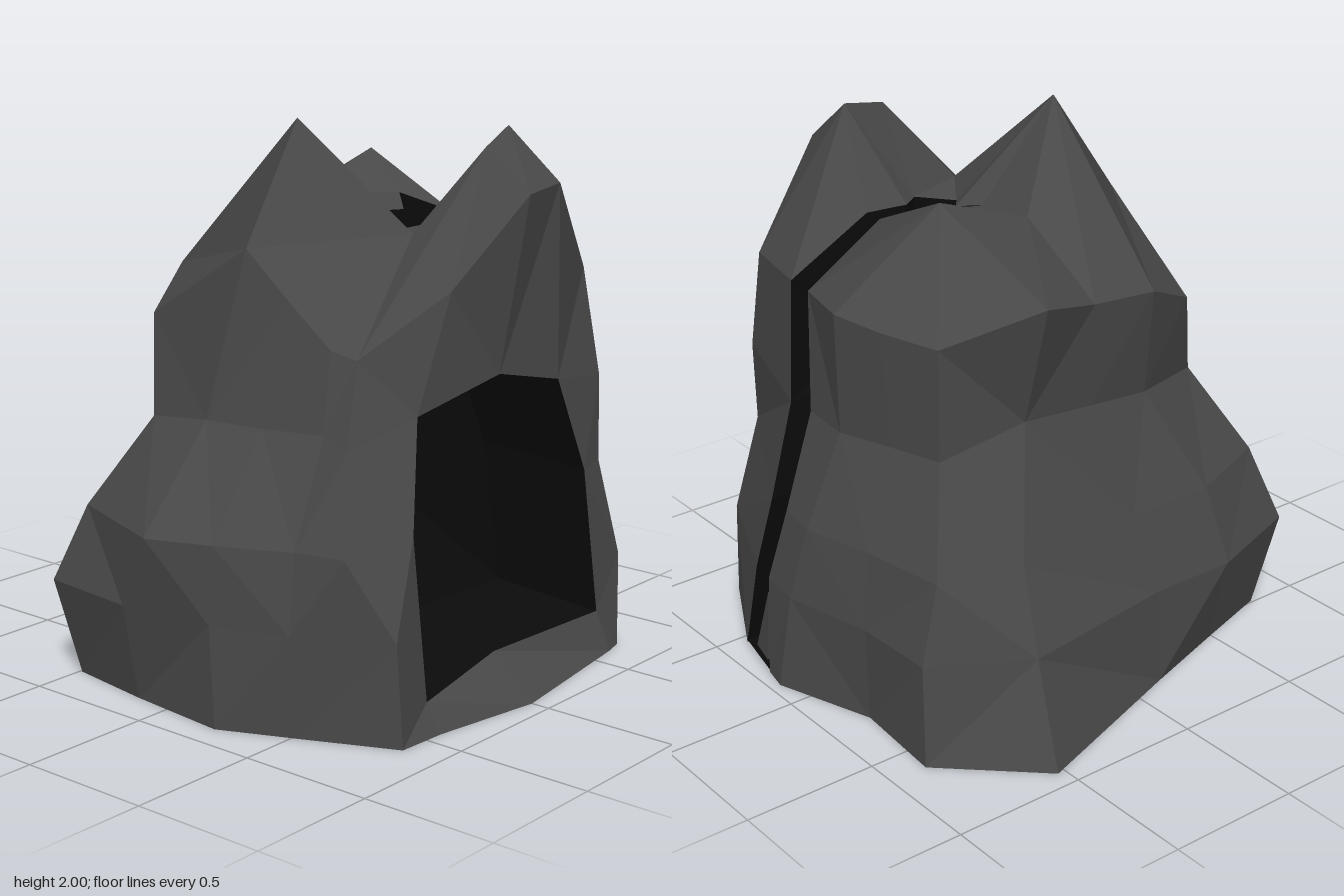
import * as THREE from 'three';

const rock = new THREE.MeshStandardMaterial({ color: 0x484848, flatShading: true });
const dark = new THREE.MeshStandardMaterial({ color: 0x0b0b0b, flatShading: true, side: THREE.DoubleSide });

// Mesh from a list of polygons, each fanned into triangles
function surface(name, polygons, material) {
  const pos = [];
  for (const p of polygons) {
    for (let i = 1; i < p.length - 1; i++) pos.push(...p[0], ...p[i], ...p[i + 1]);
  }
  const g = new THREE.BufferGeometry();
  g.setAttribute('position', new THREE.Float32BufferAttribute(pos, 3));
  g.computeVertexNormals();
  const mesh = new THREE.Mesh(g, material);
  mesh.name = name;
  return mesh;
}

// Quad ordered so that it is split along its shorter diagonal
const distance = (a, b) => Math.hypot(a[0] - b[0], a[1] - b[1], a[2] - b[2]);
const quad = (a, b, c, d) => (distance(a, c) < distance(b, d) ? [a, b, c, d] : [b, c, d, a]);

// Cross-section at height y: [x, z] or [x, z, own height], from the front round by +x
const ring = (y, pts) => pts.map(([x, z, h = y]) => [x, h, z]);

const base = ring(0, [
  [-.49, .8], [-.15, .85], [.25, .89], [.52, .77], [.85, .62], [.86, .43], [.93, 0], [.84, -.62], [.82, -.7],
  [.46, -.89], [.23, -.94], [.13, -.96], [-.25, -.83], [-.62, -.86], [-.93, -.53], [-.7, .14], [-.59, .48]]);
const foot = ring(.36, [
  [-.54, .88], [-.15, .92], [.22, .88], [.5, .79], [.82, .62], [.8, .43, .1], [.74, -.03, .14], [.79, -.6, .15], [.82, -.69],
  [.38, -.88], [.27, -.9], [.1, -.92], [-.25, -.84], [-.57, -.83], [-.77, -.49], [-.68, .14], [-.68, .48]]);
const belly = ring(.64, [
  [-.44, .8], [0, .96], [.23, .87], [.49, .75], [.67, .71], [.76, .46, .68], [.8, -.02, .7], [.8, -.48, .72], [.78, -.6, .73],
  [.32, -.84], [.21, -.85], [.05, -.87], [-.22, -.8], [-.55, -.75], [-.63, -.44], [-.58, .1], [-.58, .45]]);
const waist = ring(1, [
  [-.27, .63, .96], [.02, .67], [.25, .64], [.47, .58], [.59, .6, .97], [.67, .33, 1.05], [.73, -.05, 1.14], [.78, -.33, 1.08], [.76, -.62, 1.04],
  [.32, -.74], [.21, -.73], [0, -.75], [-.2, -.68], [-.4, -.62], [-.46, -.3, 1.08], [-.45, 0, 1.05], [-.43, .27, 1.02]]);
const rim = ring(1.43, [
  [-.37, .52, 1.3], [.12, .57, 1.59], [.29, .55], [.46, .53, 1.28], [.54, .49, 1.25], [.7, .19, 1.46], [.83, -.07, 1.77], [.79, -.3, 1.78], [.68, -.62],
  [.38, -.68], [.26, -.69], [-.03, -.78, 1.46], [-.2, -.71], [-.4, -.62, 1.41], [-.58, -.3, 1.53], [-.49, -.02, 1.45], [-.49, .25]]);
const rings = [base, foot, belly, waist, rim];

export function createModel() {
  const group = new THREE.Group();
  const n = base.length;

  // Outer walls, left open at the cave mouth (columns 5-7) and the crack (9-10)
  const walls = [];
  for (let l = 0; l < 4; l++) {
    for (let i = 0; i < n; i++) {
      const cave = (i === 5 || i === 6) && (l === 1 || l === 2);
      if (cave || i === 9) continue;
      const j = (i + 1) % n;
      walls.push(quad(rings[l][i], rings[l][j], rings[l + 1][j], rings[l + 1][i]));
    }
  }
  group.add(surface('rockWalls', walls, rock));

  // Broken top: peaks, saddles and the jagged edge of the crater
  const peak = [.08, 2, .26], saddle = [.47, 1.62, .11];
  const hornFront = [.62, 1.91, -.1], hornBack = [.56, 1.96, -.31];
  const dip = [-.16, 1.68, -.05], backPeak = [-.15, 1.81, -.42];
  const cL = [.27, 1.62, -.37], cR = [.35, 1.62, -.37];
  const gL = [.05, 1.67, -.34], gR = [.38, 1.62, -.14];
  const nL = [.19, 1.64, -.19], nR = [.33, 1.62, -.21];
  const mL = [.11, 1.64, -.04], mM = [.21, 1.62, -.08], mR = [.3, 1.6, -.01];
  const r = rim;
  group.add(surface('rockTop', [
    [r[16], r[0], r[1], peak], [r[1], saddle, peak], [r[1], r[2], saddle], [r[2], r[3], saddle],
    [r[3], r[4], saddle], [r[4], r[5], hornFront], [r[4], hornFront, saddle], [r[5], r[6], hornFront],
    [r[6], r[7], hornBack, hornFront], [r[7], r[8], hornBack], [r[8], r[9], hornBack], [r[9], cR, hornBack],
    [r[10], r[11], backPeak], [r[10], backPeak, cL], [r[11], r[12], backPeak], [r[12], r[13], backPeak],
    [r[13], r[14], backPeak], [r[14], r[15], dip], [r[14], dip, backPeak], [r[15], r[16], peak], [r[15], peak, dip],
    [cL, backPeak, gL], [backPeak, dip, gL], [dip, nL, gL], [dip, mL, nL], [dip, peak, mL],
    [peak, mM, mL], [peak, mR, mM], [peak, saddle, mR], [saddle, hornFront, gR], [saddle, gR, mR],
    [hornFront, hornBack, gR], [hornBack, nR, gR], [hornBack, cR, nR],
  ], rock));

  // Flat underside
  const centre = [0, 0, 0];
  group.add(surface('underside', base.map((p, i) => [p, centre, base[(i + 1) % n]]), rock));

  // Cave: mouth loop drawn inwards, then closed to a point
  const mouth = [foot[5], belly[5], waist[5], waist[6], waist[7], belly[7], foot[7], foot[6]];
  const inner = mouth.map(([x, y, z]) => [x - .45, y + .03, z]);
  const deep = [.1, .7, -.08];
  const cave = [];
  mouth.forEach((p, i) => {
    const j = (i + 1) % mouth.length;
    cave.push([p, mouth[j], inner[j], inner[i]], [inner[i], inner[j], deep]);
  });
  group.add(surface('caveInterior', cave, dark));

  // Crack up the back, running over the top into the crater: pairs of edges and their sunk copies
  const pairs = rings.map(q => [q[10], q[9]]).concat([[cL, cR], [gL, nR], [nL, gR], [mL, mR]]);
  const sunk = pairs.map((pair, i) => pair.map(([x, y, z]) =>
    [x, y - (i > 3 ? .3 : 0), z + (i < 5 ? .22 : 0)]));
  const crack = [];
  for (let i = 0; i < pairs.length - 1; i++) {
    for (const s of [0, 1]) crack.push([pairs[i][s], pairs[i + 1][s], sunk[i + 1][s], sunk[i][s]]);
    crack.push([sunk[i][0], sunk[i + 1][0], sunk[i + 1][1], sunk[i][1]]);
  }
  const [endL, endR] = sunk[sunk.length - 1];
  crack.push([mL, mM, endR, endL], [mM, mR, endR]);
  crack.push([base[10], base[9], sunk[0][1], sunk[0][0]].map(([x, , z]) => [x, .01, z]));
  group.add(surface('crackInterior', crack, dark));

  // Thin splinter standing in the foot of the crack
  group.add(surface('crackSplinter', [
    [[.41, 0, -.88], [.29, 0, -.91], [.31, .28, -.88]],
    [[.29, 0, -.91], [.33, 0, -.78], [.31, .28, -.88]],
    [[.33, 0, -.78], [.41, 0, -.88], [.31, .28, -.88]],
  ], rock));

  return group;
}
